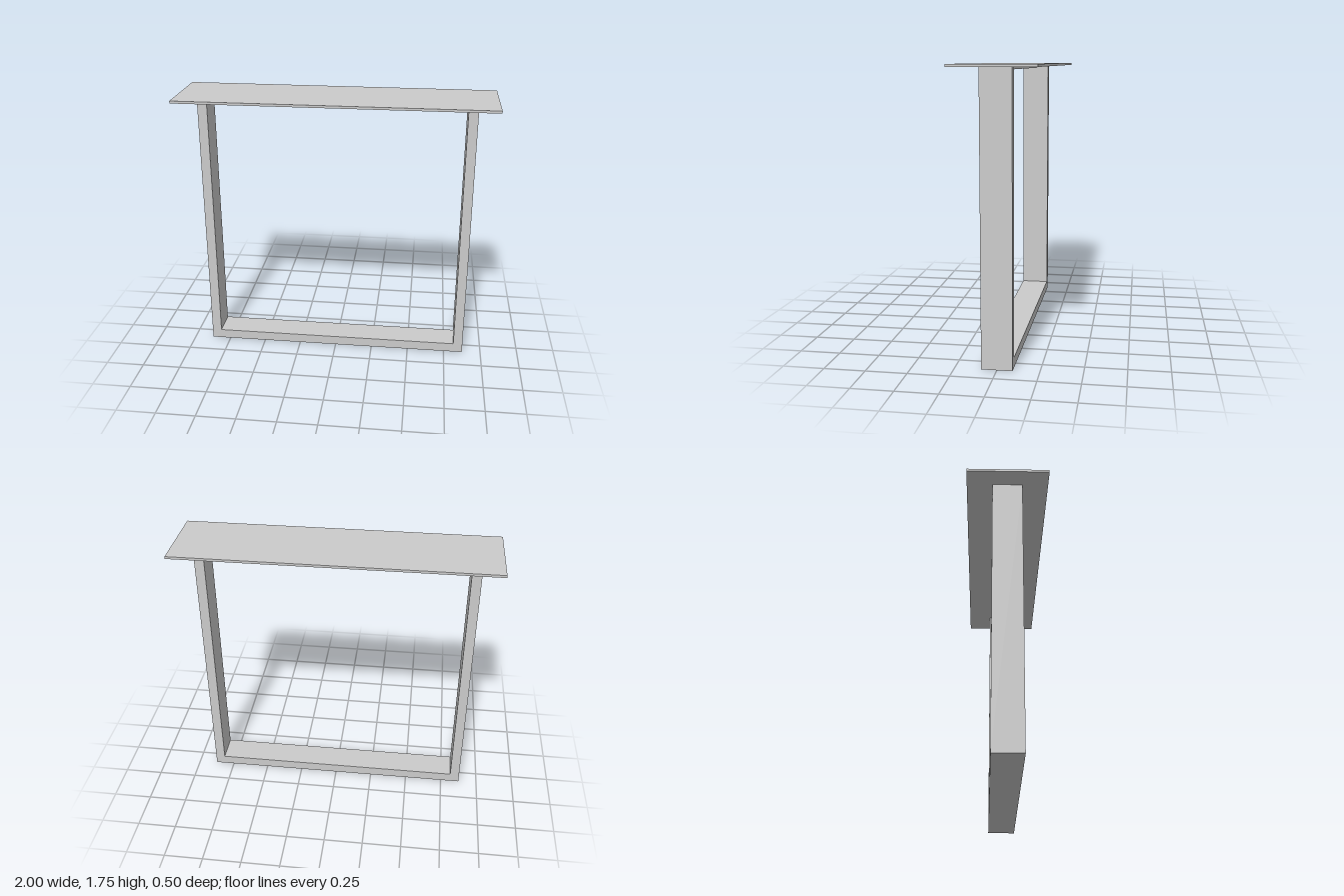
import * as THREE from 'three';

const material = new THREE.MeshStandardMaterial({ color: 0xcccccc, flatShading: true });

const TOP = 1.75, SLAB = 0.0155;      // overall height, top plate thickness
const OUTER = 0.875, BAR = 0.0615;    // frame half width, bar thickness
const DEPTH = 0.185;                  // frame depth
const RAIL = 0.02;                    // support rail section

function addPart(group, name, geometry, y) {
  const mesh = new THREE.Mesh(geometry, material);
  mesh.name = name;
  mesh.position.y = y;
  group.add(mesh);
}

export function createModel() {
  const group = new THREE.Group();
  group.name = 'table';
  const under = TOP - SLAB, inner = OUTER - BAR;

  // Thin rectangular top plate
  addPart(group, 'tableTop', new THREE.BoxGeometry(2, SLAB, 0.5), TOP - SLAB / 2);

  // U-shaped frame: two legs joined by a floor bar
  const outline = new THREE.Shape([
    [-OUTER, 0], [OUTER, 0], [OUTER, under], [inner, under],
    [inner, BAR], [-inner, BAR], [-inner, under], [-OUTER, under],
  ].map(([x, y]) => new THREE.Vector2(x, y)));
  const frame = new THREE.ExtrudeGeometry(outline, { depth: DEPTH, bevelEnabled: false });
  frame.translate(0, 0, -DEPTH / 2);
  addPart(group, 'legFrame', frame, 0);

  // Slim rail under the top, between the legs
  addPart(group, 'supportRail', new THREE.BoxGeometry(inner * 2, RAIL, RAIL), under - RAIL / 2);

  return group;
}
